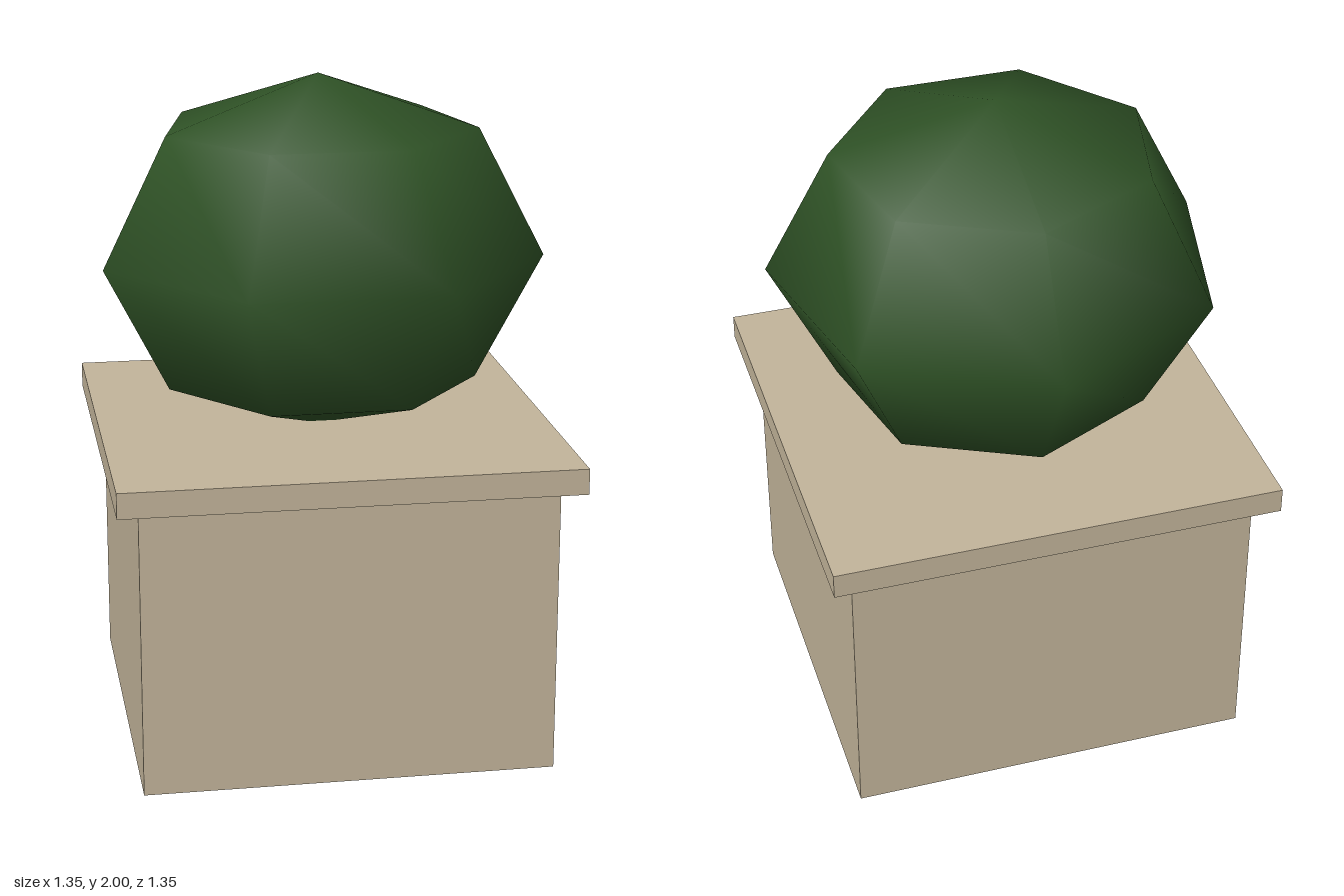
import * as THREE from 'three';

export function createModel() {
  const model = new THREE.Group();
  model.name = 'planterWithBush';

  const stone = new THREE.MeshStandardMaterial({ color: 0xc2b49a, side: THREE.DoubleSide });
  stone.name = 'sandStone';
  const leaf = new THREE.MeshStandardMaterial({ color: 0x2f5226 });
  leaf.name = 'leafGreen';

  const half = 0.612, wallHeight = 0.875, rimHeight = 0.077, rimSize = 1.354;

  // Planter: four thin walls, open at the bottom
  const planter = new THREE.Group();
  planter.name = 'planterWalls';
  for (let i = 0; i < 4; i++) {
    const geometry = new THREE.PlaneGeometry(half * 2, wallHeight);
    geometry.translate(0, wallHeight / 2, half);
    geometry.rotateY(i * Math.PI / 2);
    const wall = new THREE.Mesh(geometry, stone);
    wall.name = 'wall' + (i + 1);
    planter.add(wall);
  }
  model.add(planter);

  // Overhanging slab on top of the walls
  const rim = new THREE.Mesh(new THREE.BoxGeometry(rimSize, rimHeight, rimSize), stone);
  rim.name = 'planterRim';
  rim.position.y = wallHeight + rimHeight / 2;
  model.add(rim);

  // Squashed seven-sided ball with smooth normals, one corner pointing back
  const ball = new THREE.SphereGeometry(1, 7, 4);
  ball.rotateY(-Math.PI / 2);
  ball.scale(0.677, 0.54, 0.677);
  const bush = new THREE.Mesh(ball, leaf);
  bush.name = 'bush';
  bush.position.y = 1.46;
  model.add(bush);

  return model;
}
